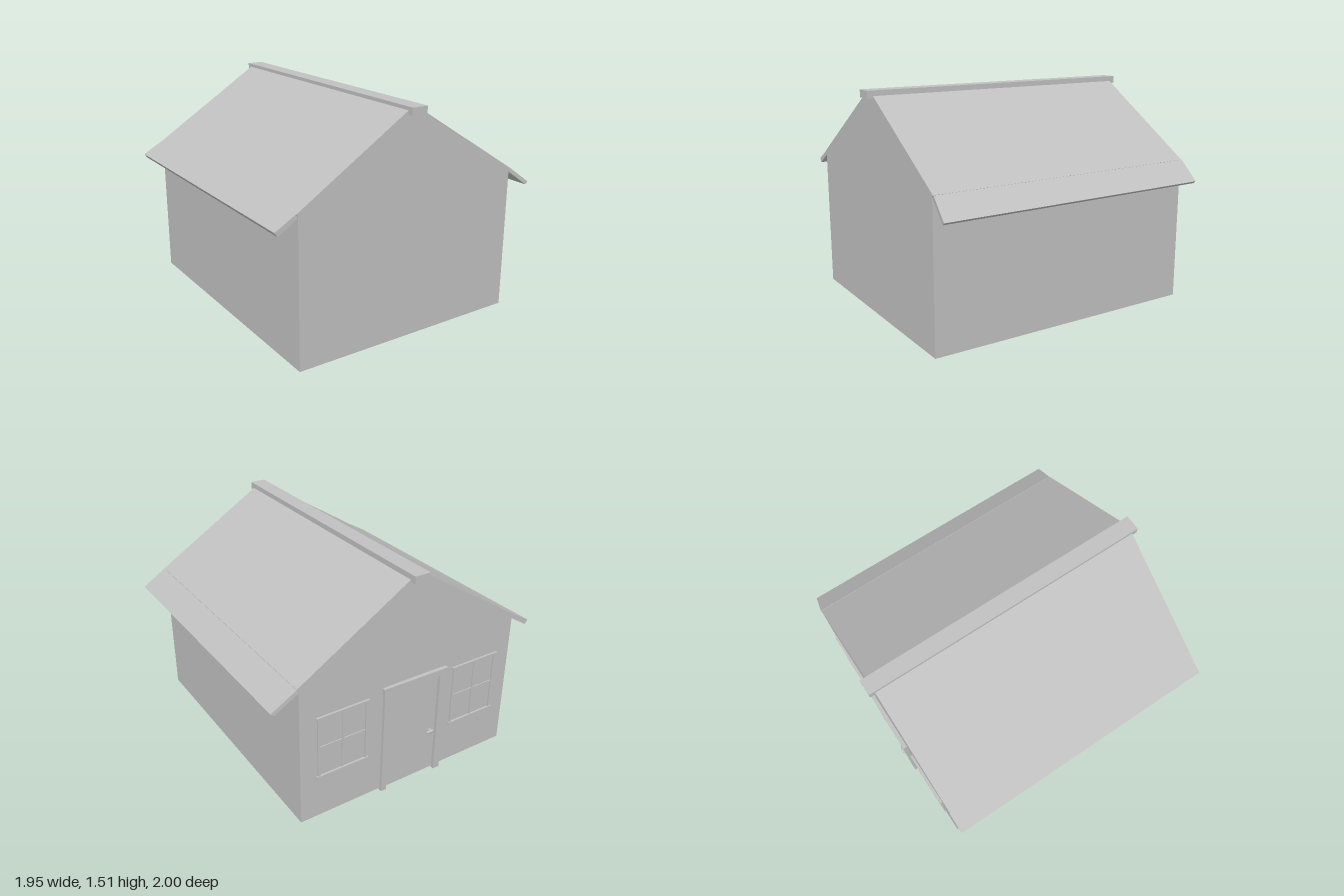
import * as THREE from 'three';

const grey = new THREE.MeshStandardMaterial({ color: 0xc0c0c0 });
grey.name = 'plain grey';

// Adds a named mesh to a parent
function add(parent, name, geometry) {
  const mesh = new THREE.Mesh(geometry, grey);
  mesh.name = name;
  parent.add(mesh);
  return mesh;
}

// Box given by its lower and upper limits on each axis
function box(parent, name, [x0, x1], [y0, y1], [z0, z1]) {
  const g = new THREE.BoxGeometry(x1 - x0, y1 - y0, z1 - z0);
  g.translate((x0 + x1) / 2, (y0 + y1) / 2, (z0 + z1) / 2);
  return add(parent, name, g);
}

// Outline in x and y, extruded from z0 to z1
function prism(points, z0, z1) {
  const shape = new THREE.Shape(points.map(([x, y]) => new THREE.Vector2(x, y)));
  const g = new THREE.ExtrudeGeometry(shape, { depth: z1 - z0, bevelEnabled: false });
  return g.translate(0, 0, z0);
}

const WALL = -0.96; // plane of the wall with the door

// Four-pane window with a slim frame, head and sill
function addWindow(parent, name, x) {
  const w = new THREE.Group();
  w.name = name;
  w.position.x = x;
  parent.add(w);
  for (const s of [-1, 1]) {
    const a = s * 0.165, b = s * 0.18;
    box(w, 'windowSide', [Math.min(a, b), Math.max(a, b)], [0.325, 0.745], [-0.97, WALL]);
  }
  box(w, 'windowHead', [-0.19, 0.19], [0.742, 0.757], [-0.975, WALL]);
  box(w, 'windowSill', [-0.19, 0.19], [0.312, 0.328], [-0.975, WALL]);
  box(w, 'verticalBar', [-0.006, 0.006], [0.328, 0.742], [-0.967, WALL]);
  box(w, 'crossBar', [-0.165, 0.165], [0.529, 0.541], [-0.967, WALL]);
}

export function createModel() {
  const house = new THREE.Group();
  house.name = 'house';

  // Walls with gables, closed by the main roof slopes
  add(house, 'houseBody', prism([
    [-0.83, 0.015], [0.80, 0.015], [0.80, 0.985], [0.81, 0.997],
    [0.04, 1.475], [-0.07, 1.487], [-0.84, 1.0], [-0.83, 0.985],
  ], WALL, 0.96));

  // Ridge beam
  box(house, 'ridgeCap', [-0.07, 0.04], [1.46, 1.51], [-1, 1]);

  // Eaves; the one at +x sits slightly askew
  add(house, 'rightEave', prism([
    [-0.84, 1.0], [-0.98, 0.92], [-0.96, 0.892], [-0.83, 0.972],
  ], WALL - 0.003, 0.957));
  const askew = prism([[0.795, 0.977], [0.95, 0.862], [0.97, 0.878], [0.812, 0.997]], -0.963, 0.957);
  const p = askew.attributes.position;
  for (let i = 0; i < p.count; i++) p.setZ(i, p.getZ(i) + 0.15 * (p.getX(i) - 0.81));
  askew.computeVertexNormals();
  add(house, 'leftEave', askew);

  // Door, its frame and handle
  const door = new THREE.Group();
  door.name = 'door';
  house.add(door);
  box(door, 'doorPanel', [-0.225, 0.17], [0.015, 0.75], [-0.965, WALL]);
  box(door, 'doorPost', [-0.272, -0.222], [0.005, 0.75], [-0.987, -0.92]);
  box(door, 'doorPost', [0.165, 0.205], [0, 0.75], [-0.98, -0.92]);
  const header = box(door, 'doorHeader', [-0.245, 0.245], [0.748, 0.793], [-0.014, 0.014]);
  header.position.set(-0.035, 0, -0.972);
  header.rotation.y = -0.015;
  const stem = add(door, 'handleStem', new THREE.CylinderGeometry(0.009, 0.009, 0.025, 12));
  stem.rotation.x = Math.PI / 2;
  stem.position.set(-0.18, 0.335, -0.975);
  const handle = add(door, 'doorHandle', new THREE.SphereGeometry(0.01, 16, 10));
  handle.scale.set(3.2, 1.2, 1);
  handle.position.set(-0.172, 0.335, -0.989);

  // Windows either side of the door
  addWindow(house, 'leftWindow', 0.5);
  addWindow(house, 'rightWindow', -0.53);

  return house;
}
